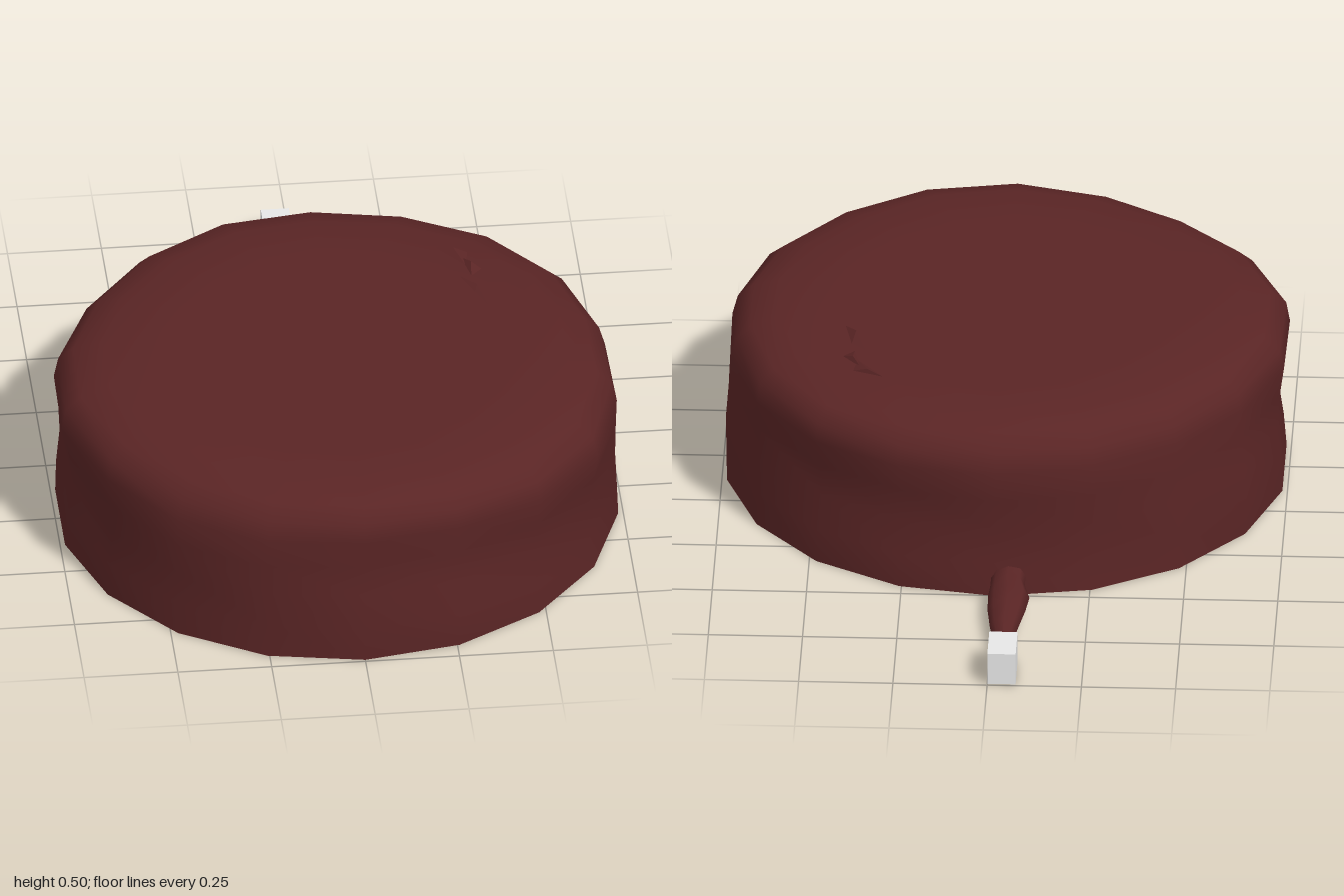
import * as THREE from 'three';
import { mergeVertices } from 'three/addons/utils/BufferGeometryUtils.js';

const SIDES = 18, CENTRE_Z = 0.245;

// Moves every vertex by a rule, then welds seams for smooth normals
function reshape(geometry, rule) {
  const p = geometry.attributes.position, v = new THREE.Vector3();
  for (let i = 0; i < p.count; i++) {
    rule(v.fromBufferAttribute(p, i));
    p.setXYZ(i, v.x, v.y, v.z);
  }
  geometry.deleteAttribute('uv');
  geometry.deleteAttribute('normal');
  const welded = mergeVertices(geometry, 1e-4);
  welded.computeVertexNormals();
  return welded;
}

export function createModel() {
  const model = new THREE.Group();
  const cloth = new THREE.MeshStandardMaterial({ color: 0x5a2525 });
  cloth.name = 'dark red cloth';
  cloth.side = THREE.DoubleSide;
  const plastic = new THREE.MeshStandardMaterial({ color: 0xe7e7e7 });
  plastic.name = 'pale grey';

  const add = (name, geometry, material) => {
    const mesh = new THREE.Mesh(geometry, material);
    mesh.name = name;
    model.add(mesh);
    return mesh;
  };

  // Draped body: radius and height pairs, from the hem to the crown
  const profile = [
    [0.748, 0.006], [0.745, 0.1], [0.738, 0.2], [0.741, 0.29], [0.748, 0.37],
    [0.735, 0.425], [0.695, 0.462], [0.62, 0.486], [0.5, 0.496], [0.44, 0.495], [0.25, 0.497], [0, 0.498],
  ].map(([r, y]) => new THREE.Vector2(r, y));
  const body = reshape(new THREE.LatheGeometry(profile, SIDES), (v) => {
    const a = Math.atan2(v.x, v.z), r = Math.hypot(v.x, v.z);
    // Soft slanting wrinkles that fade at the hem and towards the crown
    const fade = Math.min(1, v.y / 0.15) * THREE.MathUtils.smoothstep(r, 0.5, 0.7);
    const wrinkle = 0.007 * Math.sin(3 * a + 14 * v.y) + 0.006 * Math.sin(5 * a - 11 * v.y + 1);
    const k = r > 0 ? 1 + fade * wrinkle / r : 1;
    v.x *= k;
    v.z *= k;
    v.y += 0.006 * fade * Math.sin(4 * a + 0.6) * (v.y > 0.3 ? 1 : 0.3) - 0.003 * v.x * (v.y / 0.5);
  });
  add('clothBody', body, cloth).position.z = CENTRE_Z;

  // Flat underside
  const base = new THREE.CircleGeometry(0.748, SIDES, Math.PI / 2).rotateX(Math.PI / 2);
  add('underside', base, cloth).position.set(0, 0.006, CENTRE_Z);

  // Small pinched folds on the crown: base ends, and a steep crest between them
  const folds = [
    [[0.31, -0.2], [0.39, -0.17], [0.38, -0.11]],
    [[0.37, -0.15], [0.42, -0.09], [0.39, -0.06]],
    [[0.36, -0.06], [0.42, 0.08], [0.40, -0.02]],
  ];
  folds.forEach(([a, b, c]) => {
    const y = 0.496, crest = [(a[0] + b[0] * 2) / 3 - 0.01, (a[1] + b[1] * 2) / 3];
    const A = [a[0], y, a[1]], B = [b[0], y, b[1]], C = [c[0], y, c[1]], D = [crest[0], y + 0.012, crest[1]];
    const g = new THREE.BufferGeometry();
    g.setAttribute('position', new THREE.Float32BufferAttribute([A, D, B, B, D, C, C, D, A].flat(), 3));
    g.computeVertexNormals();
    add('crownFold', g, cloth);
  });

  // Tapering sleeve: z, centre x, half width, bottom y, top y
  const rings = [
    [-0.48, -0.035, 0.045, 0.03, 0.09], [-0.53, -0.035, 0.046, 0.015, 0.09],
    [-0.59, -0.04, 0.055, 0.01, 0.088], [-0.66, -0.037, 0.05, 0.01, 0.083],
    [-0.75, -0.034, 0.037, 0.012, 0.074], [-0.885, -0.037, 0.015, 0.015, 0.06],
  ];
  const n = rings.length - 1;
  const sleeve = reshape(new THREE.CylinderGeometry(1, 1, 1, 8, n, true).rotateX(-Math.PI / 2), (v) => {
    const [z, cx, w, low, high] = rings[Math.round((0.5 - v.z) * n)];
    v.set(cx + v.x * w, (low + high) / 2 + v.y * (high - low) / 2, z);
  });
  add('tailSleeve', sleeve, cloth);

  // End block
  add('tailBlock', new THREE.BoxGeometry(0.075, 0.09, 0.125), plastic).position.set(-0.038, 0.055, -0.9375);

  return model;
}
